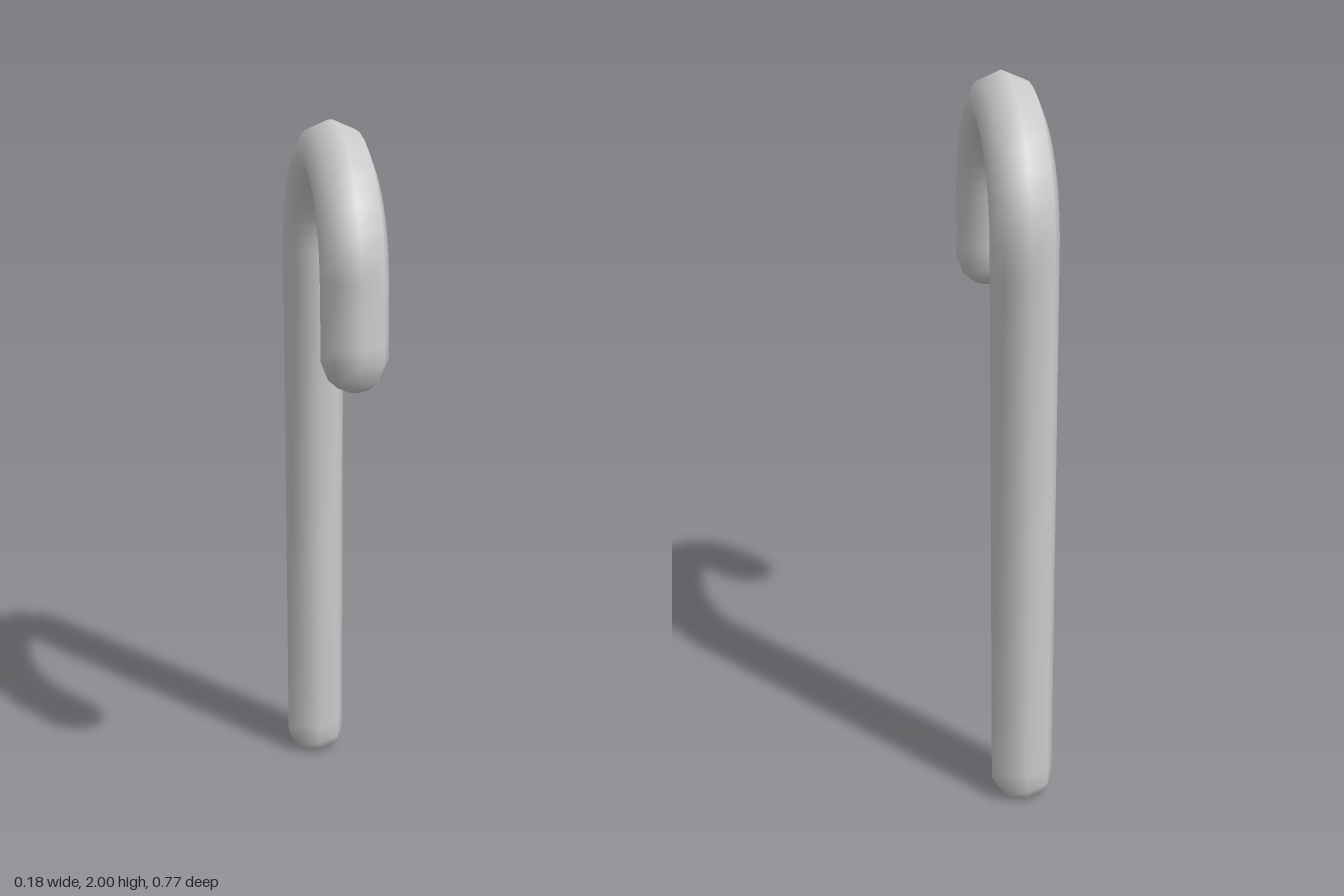
import * as THREE from 'three';

const SIDES = 8;
const RADIUS = 0.088;

// Skin eight-sided rings { y, z, angle, r } along a path in the x = 0 plane;
// angle is the heading: 0 is up, PI / 2 is forward, PI is down.
function skinRings(rings) {
  const positions = [], indices = [];
  for (const { y, z, angle, r } of rings) {
    for (let j = 0; j < SIDES; j++) {
      const a = (j / SIDES) * Math.PI * 2;
      const n = r * Math.sin(a);
      positions.push(r * Math.cos(a), y + n * Math.sin(angle), z - n * Math.cos(angle));
    }
  }
  for (let i = 0; i < rings.length - 1; i++) {
    for (let j = 0; j < SIDES; j++) {
      const k = (j + 1) % SIDES;
      const a = i * SIDES + j, b = i * SIDES + k;
      indices.push(a, b, b + SIDES, a, b + SIDES, a + SIDES);
    }
  }
  // Close both ends with a centre point
  const last = rings.length - 1;
  const start = rings.length * SIDES;
  for (const ring of [rings[0], rings[last]]) positions.push(0, ring.y, ring.z);
  for (let j = 0; j < SIDES; j++) {
    const k = (j + 1) % SIDES;
    indices.push(start, k, j, start + 1, last * SIDES + j, last * SIDES + k);
  }
  const geometry = new THREE.BufferGeometry();
  geometry.setAttribute('position', new THREE.Float32BufferAttribute(positions, 3));
  geometry.setIndex(indices);
  geometry.computeVertexNormals();
  return geometry;
}

export function createModel() {
  const group = new THREE.Group();
  group.name = 'cane';
  const rings = [];

  // Rounded foot and straight shaft
  const shaftZ = -0.296;
  for (const [y, r] of [[0, 0.045], [0.014, 0.07], [0.05, RADIUS], [0.1, RADIUS], [1.55, RADIUS]]) {
    rings.push({ y, z: shaftZ, angle: 0, r });
  }

  // Crook: an arc that stops just short of a half turn
  const bend = 0.292, centerY = 1.62, centerZ = -0.004;
  const endAngle = THREE.MathUtils.degToRad(177);
  const steps = 18;
  for (let i = 0; i <= steps; i++) {
    const angle = (endAngle * i) / steps;
    rings.push({
      y: centerY + bend * Math.sin(angle),
      z: centerZ - bend * Math.cos(angle),
      angle,
      r: RADIUS,
    });
  }

  // Short straight end with a domed tip
  const { y: bendY, z: bendZ } = rings[rings.length - 1];
  for (const [d, r] of [[0.16, RADIUS], [0.203, RADIUS], [0.25, 0.07], [0.273, 0.044], [0.284, 0.015]]) {
    rings.push({
      y: bendY + d * Math.cos(endAngle),
      z: bendZ + d * Math.sin(endAngle),
      angle: endAngle,
      r,
    });
  }

  const cane = new THREE.Mesh(skinRings(rings), new THREE.MeshStandardMaterial({ color: 0xcccccc }));
  cane.name = 'caneShaftAndCrook';
  group.add(cane);
  return group;
}
